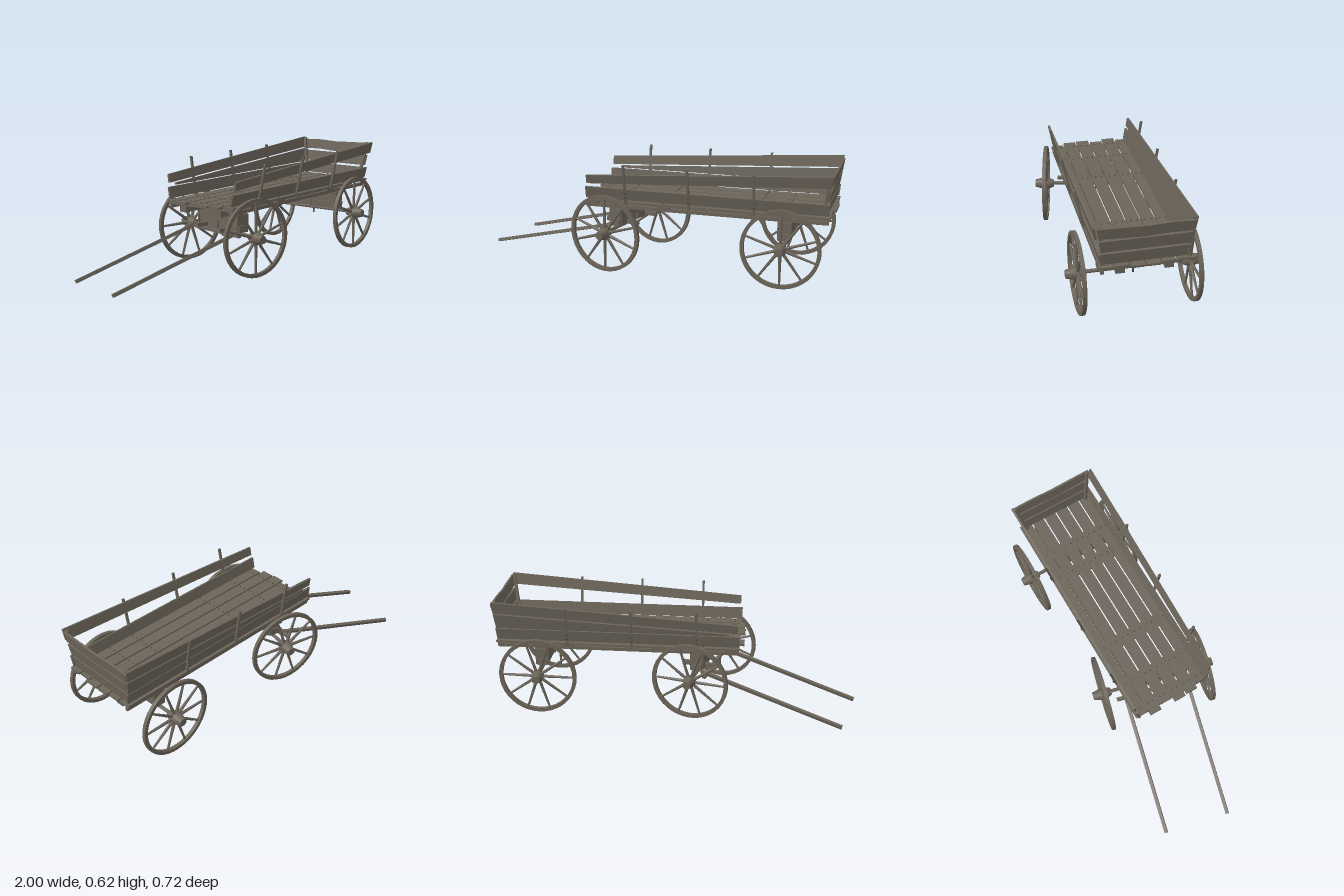
import * as THREE from 'three';
import { toCreasedNormals } from 'three/addons/utils/BufferGeometryUtils.js';

const wood = new THREE.MeshStandardMaterial({ color: 0x6b6459 });
wood.name = 'weathered wood';
const iron = new THREE.MeshStandardMaterial({ color: 0x48453e });
iron.name = 'dark iron';

function add(parent, name, geo, mat = wood) {
  const mesh = new THREE.Mesh(geo, mat);
  mesh.name = name;
  parent.add(mesh);
  return mesh;
}

// box given by its limits on each axis
function block(parent, name, [x0, x1], [y0, y1], [z0, z1], mat = wood) {
  const m = add(parent, name, new THREE.BoxGeometry(x1 - x0, y1 - y0, z1 - z0), mat);
  m.position.set((x0 + x1) / 2, (y0 + y1) / 2, (z0 + z1) / 2);
  return m;
}

// flat board cut to an outline in x and y, centred on z = 0
function board(parent, name, points, depth = 0.012) {
  const shape = new THREE.Shape(points.map(([x, y]) => new THREE.Vector2(x, y)));
  const geo = new THREE.ExtrudeGeometry(shape, { depth, bevelEnabled: false });
  geo.translate(0, 0, -depth / 2);
  return add(parent, name, geo);
}

function group(parent, name) {
  const g = new THREE.Group();
  g.name = name;
  parent.add(g);
  return g;
}

// ring or hub turned about the z axis from [radius, z] points
function turned(points, segments) {
  const geo = new THREE.LatheGeometry(points.map(([r, z]) => new THREE.Vector2(r, z)), segments);
  geo.rotateX(Math.PI / 2);
  return toCreasedNormals(geo, 0.6);
}

function wheel(parent, side, twist) {
  const w = group(parent, 'wheel');
  add(w, 'rim', turned([[0.194, -0.01], [0.214, -0.01], [0.214, 0.01], [0.194, 0.01], [0.194, -0.01]], 40));
  add(w, 'hub', turned([[0, -0.045], [0.02, -0.045], [0.033, -0.012], [0.033, 0.015], [0.022, 0.06], [0, 0.06]], 16));
  const spokes = 10;
  for (let i = 0; i < spokes; i++) {
    const arm = group(w, 'spokeArm');
    arm.rotation.z = twist + (i / spokes) * Math.PI * 2;
    const geo = new THREE.CylinderGeometry(0.006, 0.009, 0.175, 8);
    add(arm, 'spoke', geo).position.y = 0.113;
  }
  w.position.set(0, 0.215, side * 0.293);
  if (side < 0) w.rotation.y = Math.PI;
}

// axle, bolster and two wheels
function axleSet(parent, name, x, turn) {
  const g = group(parent, name);
  g.position.x = x;
  g.rotation.y = turn;
  wheel(g, 1, 0);
  wheel(g, -1, 0.3);
  const axle = add(g, 'axle', new THREE.CylinderGeometry(0.01, 0.01, 0.56, 10));
  axle.rotation.x = Math.PI / 2;
  axle.position.y = 0.218;
  block(g, 'axleBeam', [-0.03, 0.03], [0.23, 0.267], [-0.182, 0.192]);
  block(g, 'bolster', [-0.035, 0.035], [0.27, 0.327], [-0.177, 0.187]);
  for (const z of [-0.165, 0.005, 0.175]) {
    block(g, 'strap', [-0.038, 0.038], [0.228, z === 0.005 ? 0.27 : 0.329], [z - 0.005, z + 0.005]);
  }
  const pin = add(g, 'kingPin', new THREE.CylinderGeometry(0.005, 0.005, 0.155, 8), iron);
  pin.position.set(0, 0.26, 0.005);
  return g;
}

// straight pole between two points
function pole(parent, name, a, b, size) {
  const from = new THREE.Vector3(...a), to = new THREE.Vector3(...b);
  const m = add(parent, name, new THREE.BoxGeometry(size, size, from.distanceTo(to)));
  m.position.copy(from).add(to).multiplyScalar(0.5);
  m.quaternion.setFromUnitVectors(new THREE.Vector3(0, 0, 1), to.sub(from).normalize());
}

// leaning side wall with boards and outer stakes
function sideWall(parent, side, z, lean) {
  const g = group(parent, side > 0 ? 'frontWall' : 'backWall');
  g.position.set(0, 0.39, z);
  g.rotation.x = side * lean;
  board(g, 'lowerBoard', [[-0.36, 0.005], [0.97, 0.005], [0.975, 0.068], [-0.36, 0.068]]);
  if (side < 0) board(g, 'middleBoard', [[-0.3, 0.073], [0.97, 0.073], [0.98, 0.155], [-0.3, 0.085]]);
  board(g, 'upperBoard', [[-0.35, 0.09], [0.98, 0.163], [0.985, 0.228], [-0.35, 0.138]]);
  for (const x of [-0.13, 0.225, 0.58]) {
    block(g, 'stake', [x - 0.006, x + 0.006], [-0.02, 0.215], [side * 0.012 - 0.006, side * 0.012 + 0.006]);
    for (const y of [0.025, 0.05]) {
      const bolt = add(g, 'bolt', new THREE.CylinderGeometry(0.004, 0.004, 0.006, 8), iron);
      bolt.rotation.x = Math.PI / 2;
      bolt.position.set(x, y, side * 0.02);
    }
  }
}

export function createModel() {
  const cart = new THREE.Group();
  cart.name = 'farmCart';

  // running gear, with the front axle turned and its shafts on the ground
  axleSet(cart, 'rearAxle', 0.735, 0);
  const front = axleSet(cart, 'frontAxle', -0.165, -0.227);
  for (const s of [1, -1]) pole(front, 'shaft', [-0.822, 0.016, s * 0.18], [-0.03, 0.232, s * 0.18], 0.018);
  block(front, 'shaftBar', [-0.07, -0.05], [0.213, 0.228], [-0.23, 0.23]);
  for (const s of [1, -1]) block(front, 'hound', [-0.1, 0.1], [0.228, 0.25], [s * 0.1 - 0.012, s * 0.1 + 0.012]);

  // bed frame
  const bed = group(cart, 'bed');
  for (const z of [-0.122, 0.122]) block(bed, 'sill', [-0.35, 0.95], [0.327, 0.364], [z - 0.023, z + 0.023]);
  for (const z of [-0.2, 0.215]) block(bed, 'edgeRail', [-0.36, 0.97], [0.345, 0.364], [z - 0.008, z + 0.008]);
  const battens = [-0.32, -0.165, 0.08, 0.58, 0.735];
  for (const x of battens) block(bed, 'batten', [x - 0.035, x + 0.035], [0.363, 0.375], [-0.218, 0.225]);

  // floor planks with uneven ends
  const ends = [[-0.36, 0.975], [-0.385, 0.98], [-0.36, 0.99], [-0.385, 0.99], [-0.38, 0.975], [-0.355, 0.98]];
  ends.forEach((span, i) => {
    const z = -0.189 + i * 0.0768;
    block(bed, 'floorPlank', span, [0.375, 0.387], [z - 0.034, z + 0.034]);
    for (const x of battens) {
      for (const dz of [-0.016, 0.016]) {
        const nail = add(bed, 'nail', new THREE.CylinderGeometry(0.004, 0.004, 0.004, 8), iron);
        nail.position.set(x, 0.388, z + dz);
      }
    }
  });

  // walls
  sideWall(bed, 1, 0.215, 0.2);
  sideWall(bed, -1, -0.207, 0.15);

  // end wall leaning outward, its top board sagging
  const end = group(bed, 'endWall');
  end.position.set(0.955, 0.39, 0.003);
  end.rotation.order = 'ZYX';
  end.rotation.set(0, Math.PI / 2, -0.14);
  board(end, 'endBoard', [[-0.207, 0.005], [0.207, 0.005], [0.218, 0.068], [-0.218, 0.068]]);
  board(end, 'endBoard', [[-0.22, 0.08], [0.217, 0.08], [0.228, 0.144], [-0.23, 0.144]]);
  board(end, 'endBoard', [[-0.232, 0.163], [-0.1, 0.154], [0, 0.15], [0.12, 0.158], [0.228, 0.154],
    [0.243, 0.213], [0.12, 0.217], [0, 0.212], [-0.1, 0.216], [-0.245, 0.22]]);
  for (const s of [1, -1]) {
    const post = block(end, 'cornerPost', [-0.008, 0.008], [0, 0.225], [-0.021, -0.006]);
    post.position.x = s * 0.212;
    post.rotation.z = -s * 0.17;
  }
  return cart;
}
